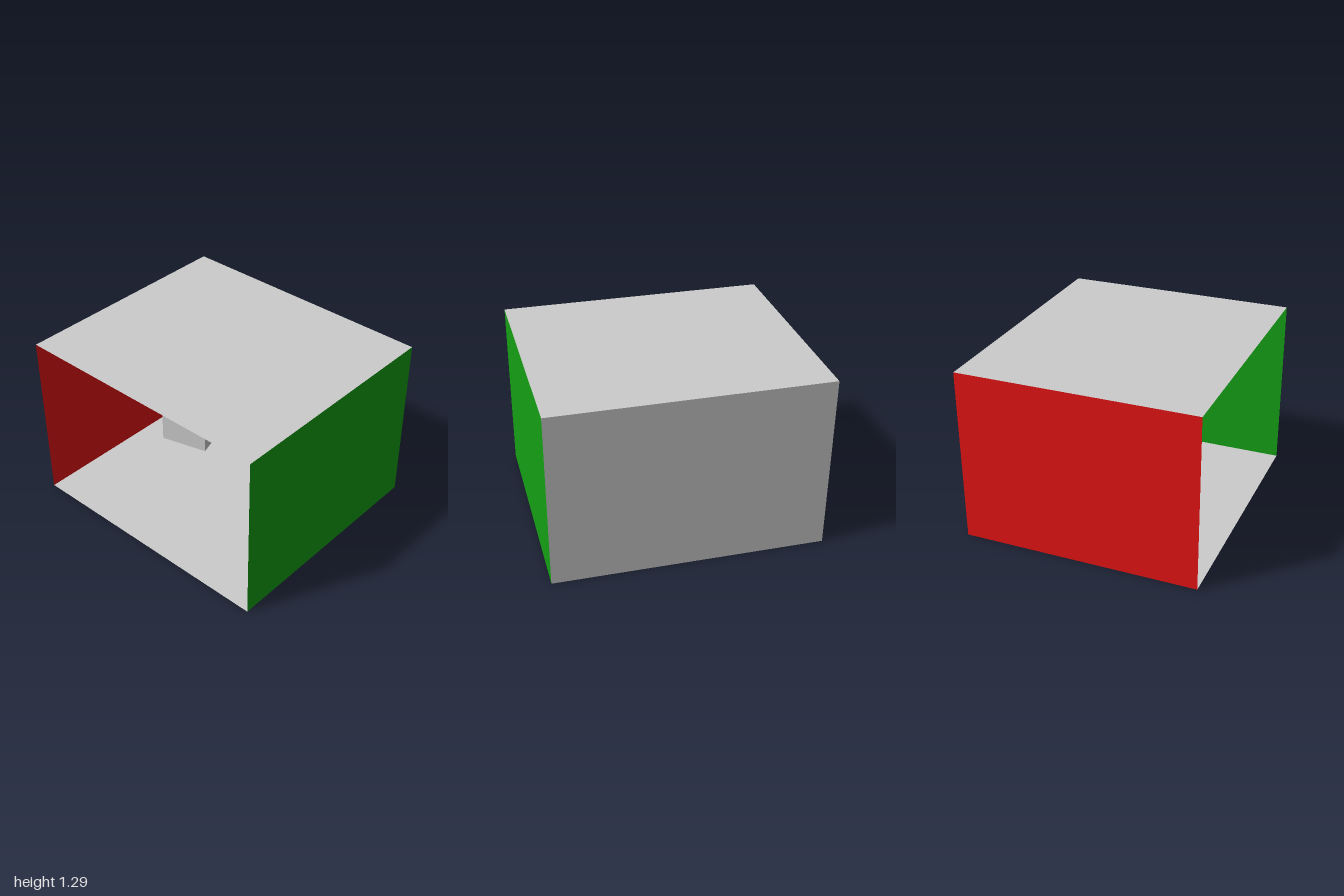
import * as THREE from 'three';

const H = 1.295, D = 0.875;

function material(color) {
  return new THREE.MeshStandardMaterial({ color, side: THREE.DoubleSide, flatShading: true });
}

// Flat four-cornered panel, corners counter-clockwise seen from inside the room
function panel(name, corners, mat) {
  const geometry = new THREE.BufferGeometry();
  geometry.setAttribute('position', new THREE.Float32BufferAttribute(corners.flat(), 3));
  geometry.setIndex([0, 1, 2, 0, 2, 3]);
  geometry.computeVertexNormals();
  const mesh = new THREE.Mesh(geometry, mat);
  mesh.name = name;
  return mesh;
}

export function createModel() {
  const group = new THREE.Group();
  group.name = 'room';
  const grey = material(0xcccccc);
  const red = material(0xe61414);
  const green = material(0x14a014);

  // Room corners; the floor is slightly narrower on the red side
  const floorFR = [-0.989, 0, D], floorBR = [-0.977, 0, -D];
  const floorFL = [1, 0, D], floorBL = [1, 0, -D];
  const topFR = [-1, H, D], topBR = [-1, H, -D];
  const topFL = [1, H, D], topBL = [1, H, -D];

  // Open-fronted shell
  group.add(
    panel('floor', [floorFR, floorFL, floorBL, floorBR], grey),
    panel('ceiling', [topFR, topBR, topBL, topFL], grey),
    panel('backWall', [floorBR, floorBL, topBL, topBR], grey),
    panel('redWall', [floorFR, floorBR, topBR, topFR], red),
    panel('greenWall', [floorFL, topFL, topBL, floorBL], green)
  );

  // Tall block standing askew on the floor; shape y is -z
  const footprint = [[-0.775, 0.12], [-0.4, 0.22], [-0.512, 0.595], [-0.885, 0.49]];
  const shape = new THREE.Shape(footprint.map(([x, y]) => new THREE.Vector2(x, y)));
  const geometry = new THREE.ExtrudeGeometry(shape, { depth: 0.78, bevelEnabled: false });
  geometry.rotateX(-Math.PI / 2);
  const block = new THREE.Mesh(geometry, grey);
  block.name = 'tallBlock';
  group.add(block);

  return group;
}
